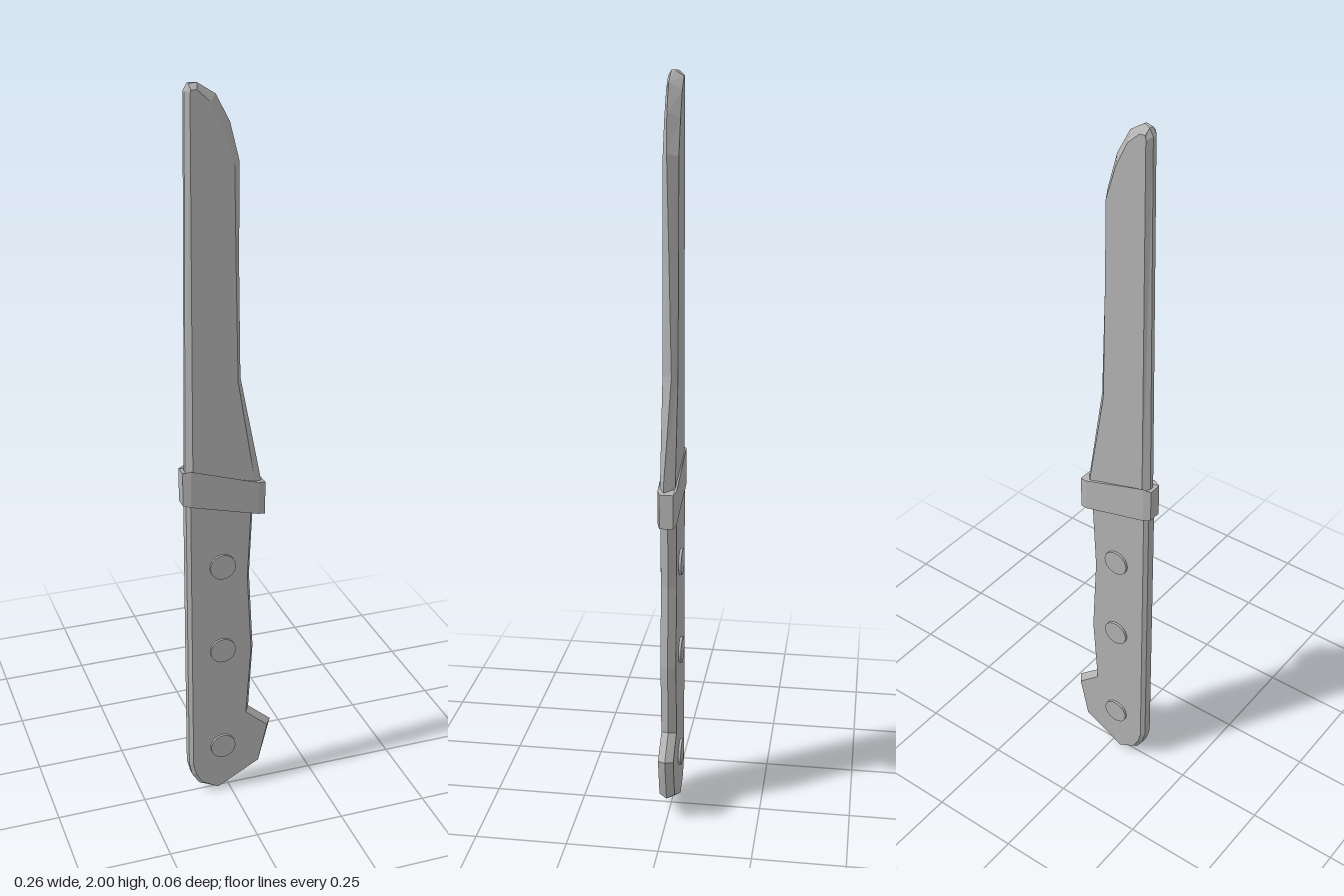
import * as THREE from 'three';

const steel = new THREE.MeshStandardMaterial({ color: 0xb2b2b2, flatShading: true });
steel.name = 'grey steel';

// Bevelled slab: each point is [rimX, rimY, faceX, faceY, rimZ, rimHalfWidth], counterclockwise from the front.
function bevelledSlab(name, points, halfDepth) {
  const n = points.length;
  const face = points.map(p => new THREE.Vector2(p[2], p[3]));
  const rings = [
    points.map(p => [p[2], p[3], halfDepth]),
    points.map(p => [p[0], p[1], p[4] + p[5]]),
    points.map(p => [p[0], p[1], p[4] - p[5]]),
    points.map(p => [p[2], p[3], -halfDepth]),
  ];
  const index = [];
  for (let r = 0; r < 3; r++) {
    for (let i = 0; i < n; i++) {
      const j = (i + 1) % n;
      const a = r * n + i, b = r * n + j, c = a + n, d = b + n;
      index.push(a, c, d, a, d, b);
    }
  }
  for (const [a, b, c] of THREE.ShapeUtils.triangulateShape(face, [])) {
    index.push(a, b, c, 3 * n + c, 3 * n + b, 3 * n + a);
  }
  let geometry = new THREE.BufferGeometry();
  geometry.setAttribute('position', new THREE.Float32BufferAttribute(rings.flat(2), 3));
  geometry.setIndex(index);
  geometry = geometry.toNonIndexed();
  geometry.computeVertexNormals();
  const mesh = new THREE.Mesh(geometry, steel);
  mesh.name = name;
  return mesh;
}

export function createModel() {
  const knife = new THREE.Group();
  knife.name = 'knife';

  // Blade: cutting edge up the right, rounded tip, chamfered spine down the left
  knife.add(bevelledSlab('blade', [
    [-0.12, 0.95, -0.103, 0.95, 0, 0.006],
    [0.092, 0.94, 0.07, 0.94, 0.008, 0],
    [0.085, 0.98, 0.065, 0.98, 0.008, 0],
    [0.035, 1.25, 0.02, 1.25, -0.005, 0],
    [0.028, 1.55, 0.014, 1.55, 0.002, 0],
    [0.026, 1.81, 0.01, 1.8, 0.008, 0],
    [0.001, 1.905, -0.018, 1.89, 0.011, 0],
    [-0.035, 1.972, -0.05, 1.955, 0.012, 0],
    [-0.08, 2.0, -0.083, 1.985, 0.008, 0.003],
    [-0.1, 1.998, -0.098, 1.985, 0, 0.006],
    [-0.11, 1.98, -0.1, 1.975, 0, 0.006],
  ], 0.02));

  // Slanted collar between blade and handle
  knife.add(bevelledSlab('guard', [
    [-0.13, 0.92, -0.11, 0.915, 0, 0.018],
    [0.098, 0.862, 0.076, 0.868, 0, 0.018],
    [0.098, 0.955, 0.076, 0.96, 0, 0.018],
    [-0.13, 1.013, -0.11, 1.018, 0, 0.018],
  ], 0.025));

  // Handle with a hooked pommel and ridged belly
  knife.add(bevelledSlab('handle', [
    [-0.12, 0.94, -0.11, 0.94, 0, 0.012],
    [-0.12, 0.1, -0.11, 0.102, 0, 0.012],
    [-0.111, 0.062, -0.102, 0.068, 0, 0.01],
    [-0.09, 0.028, -0.084, 0.036, 0, 0.008],
    [-0.037, 0.0, -0.037, 0.01, 0, 0.004],
    [0.094, 0.067, 0.084, 0.075, 0, 0],
    [0.126, 0.195, 0.11, 0.19, 0, 0],
    [0.06, 0.252, 0.046, 0.246, 0, 0],
    [0.072, 0.45, 0.06, 0.45, 0, 0],
    [0.06, 0.68, 0.048, 0.68, 0, 0],
    [0.07, 0.9, 0.058, 0.9, 0, 0],
  ], 0.021));

  // Rivets passing through the handle
  const rivetShape = new THREE.CylinderGeometry(0.036, 0.036, 0.056, 20).rotateX(Math.PI / 2);
  for (const y of [0.15, 0.465, 0.725]) {
    const rivet = new THREE.Mesh(rivetShape, steel);
    rivet.name = 'rivet';
    rivet.position.set(-0.023, y, 0);
    knife.add(rivet);
  }
  return knife;
}
